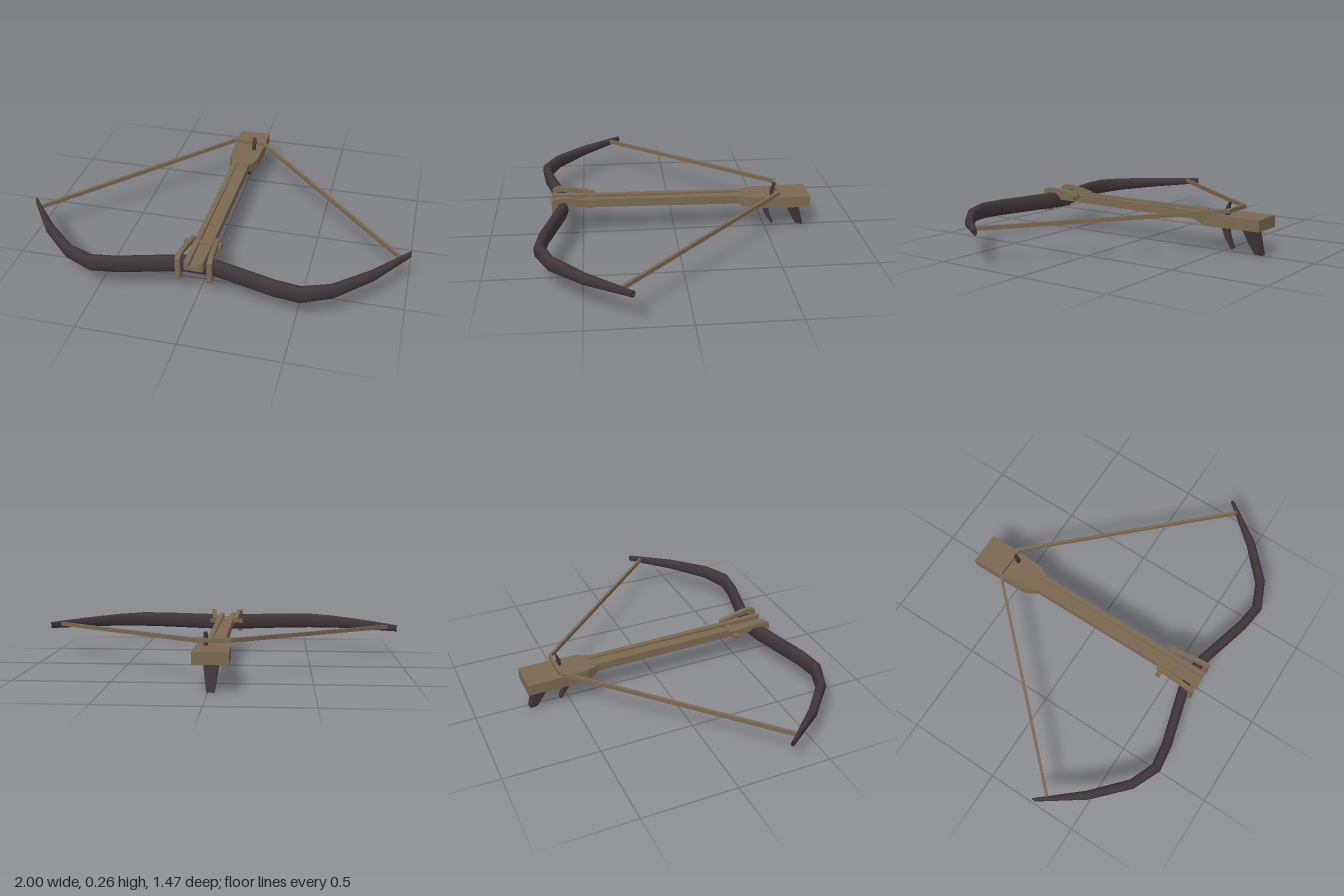
import * as THREE from 'three';

const CX = -0.0125; // centre line of the stock

const wood = new THREE.MeshStandardMaterial({ color: 0x7b6852 });
wood.name = 'wood';
const dark = new THREE.MeshStandardMaterial({ color: 0x3f3639 });
dark.name = 'dark horn';

function add(group, name, geometry, material) {
  const mesh = new THREE.Mesh(geometry, material);
  mesh.name = name;
  group.add(mesh);
}

// Side outline of [z, y] points, extruded across x and centred on x = 0
function sidePlate(points, width) {
  const shape = new THREE.Shape(points.map(([z, y]) => new THREE.Vector2(z, y)));
  return new THREE.ExtrudeGeometry(shape, { depth: width, bevelEnabled: false })
    .rotateY(-Math.PI / 2)
    .translate(width / 2, 0, 0);
}

// Move every vertex by a rule, then refresh the normals
function reshape(geometry, rule) {
  const p = geometry.attributes.position;
  const v = new THREE.Vector3();
  for (let i = 0; i < p.count; i++) {
    rule(v.fromBufferAttribute(p, i));
    p.setXYZ(i, v.x, v.y, v.z);
  }
  geometry.computeVertexNormals();
  return geometry;
}

// Straight flat cord between two points
function cord(a, b, width, height) {
  const up = new THREE.Vector3(0, 1, 0);
  const middle = a.clone().add(b).multiplyScalar(0.5);
  const turn = new THREE.Matrix4().lookAt(a, b, up).setPosition(middle);
  return new THREE.BoxGeometry(width, height, a.distanceTo(b)).applyMatrix4(turn);
}

// Recurved bow: rounded sections along a mirrored path
function bowGeometry() {
  // x, z, y, half height, half depth
  const half = [
    [0.055, 0.602, 0.164, 0.045, 0.027],
    [0.10, 0.609, 0.164, 0.045, 0.027],
    [0.39, 0.688, 0.162, 0.044, 0.026],
    [0.52, 0.705, 0.161, 0.043, 0.027],
    [0.66, 0.646, 0.163, 0.037, 0.025],
    [0.83, 0.489, 0.168, 0.028, 0.023],
    [1.01, 0.276, 0.175, 0.018, 0.018],
  ];
  const path = [
    ...half.slice().reverse().map(([x, ...r]) => [-x, ...r]),
    // the middle is let into the stock
    [-0.045, 0.6, 0.15, 0.034, 0.026],
    [0.03, 0.6, 0.15, 0.034, 0.026],
    ...half,
  ];
  const soften = (c) => Math.sign(c) * Math.abs(c) ** 0.8;
  const sides = 12, pos = [], index = [];
  path.forEach(([x, z, y, h, d], i) => {
    const a = path[Math.max(i - 1, 0)], b = path[Math.min(i + 1, path.length - 1)];
    const t = new THREE.Vector2(b[0] - a[0], b[1] - a[1]).normalize();
    for (let j = 0; j < sides; j++) {
      const ang = (j / sides) * Math.PI * 2;
      const off = soften(Math.cos(ang)) * d;
      // tips are cut square at the full width
      const px = THREE.MathUtils.clamp(x - t.y * off, -1, 1);
      pos.push(px, y + soften(Math.sin(ang)) * h, z + t.x * off);
    }
  });
  for (let i = 0; i < path.length - 1; i++) {
    for (let j = 0; j < sides; j++) {
      const a = i * sides + j, b = i * sides + (j + 1) % sides;
      index.push(a, a + sides, b, b, a + sides, b + sides);
    }
  }
  // end caps
  const last = (path.length - 1) * sides;
  for (let j = 1; j < sides - 1; j++) {
    index.push(0, j, j + 1, last, last + j + 1, last + j);
  }
  const g = new THREE.BufferGeometry();
  g.setAttribute('position', new THREE.Float32BufferAttribute(pos, 3));
  g.setIndex(index);
  g.computeVertexNormals();
  return g;
}

// Stock: plan outline extruded upward, underside stepped along its length
function stockGeometry() {
  const side = [[0.0475, 0.66], [0.0475, -0.34], [0.08, -0.41], [0.087, -0.55], [0.087, -0.735]];
  const outline = [
    ...side.map(([x, z]) => new THREE.Vector2(CX + x, -z)),
    ...side.slice().reverse().map(([x, z]) => new THREE.Vector2(CX - x, -z)),
  ];
  const g = new THREE.ExtrudeGeometry(new THREE.Shape(outline), { depth: 1, bevelEnabled: false })
    .rotateX(-Math.PI / 2);
  return reshape(g, (v) => {
    const bottom = v.z > 0 ? 0.166 : v.z > -0.38 ? 0.152 : 0.134;
    const top = v.z > -0.38 ? 0.19 : 0.195;
    v.y = v.y > 0.5 ? top : bottom;
  });
}

export function createModel() {
  const model = new THREE.Group();
  model.name = 'crossbow';

  add(model, 'bow', bowGeometry(), dark);
  add(model, 'stock', stockGeometry(), wood);

  // Rails on both sides of the bolt groove, rising toward the front
  const rail = [[-0.37, 0.18], [-0.37, 0.197], [0.42, 0.207], [0.66, 0.212], [0.66, 0.18]];
  for (const s of [-1, 1]) {
    add(model, 'rail', sidePlate(rail, 0.027).translate(CX + s * 0.034, 0, 0), wood);
  }

  // Peg through the stock and the hooked straps that hold the bow
  const peg = new THREE.BoxGeometry(0.19, 0.022, 0.026).translate(CX - 0.005, 0.188, 0.455);
  add(model, 'peg', peg, wood);
  const strap = [
    [0.43, 0.19], [0.43, 0.21], [0.55, 0.23], [0.58, 0.235], [0.63, 0.235], [0.658, 0.222],
    [0.66, 0.11], [0.65, 0.10], [0.615, 0.106], [0.612, 0.118], [0.636, 0.125],
    [0.637, 0.205], [0.62, 0.212], [0.57, 0.21],
  ];
  for (const s of [-1, 1]) {
    const g = reshape(sidePlate(strap, 0.024), (v) => {
      // straps close in on the stock toward the peg
      v.x += CX + s * (0.08 - 0.02 * THREE.MathUtils.clamp((0.63 - v.z) / 0.2, 0, 1));
    });
    add(model, 'strap', g, wood);
  }

  // Drawn string
  const backLeft = new THREE.Vector3(CX + 0.085, 0.223, -0.56);
  const backRight = new THREE.Vector3(CX - 0.085, 0.223, -0.56);
  const tipLeft = new THREE.Vector3(0.955, 0.177, 0.33);
  const tipRight = new THREE.Vector3(-0.955, 0.177, 0.33);
  add(model, 'stringMiddle', cord(backLeft, backRight, 0.018, 0.021), wood);
  add(model, 'stringLeft', cord(backLeft, tipLeft, 0.015, 0.021), wood);
  add(model, 'stringRight', cord(backRight, tipRight, 0.015, 0.021), wood);

  // Latch pin on top
  const latch = [
    [-0.52, 0.185], [-0.522, 0.225], [-0.54, 0.262], [-0.548, 0.262], [-0.54, 0.225], [-0.54, 0.185],
  ];
  add(model, 'latch', sidePlate(latch, 0.02).translate(0.024, 0, 0), dark);

  // Curved trigger below
  const trigger = [
    [-0.48, 0.15], [-0.485, 0.115], [-0.503, 0.065], [-0.54, 0.01],
    [-0.552, 0.015], [-0.532, 0.06], [-0.522, 0.1], [-0.52, 0.15],
  ];
  add(model, 'trigger', sidePlate(trigger, 0.028).translate(CX, 0, 0), dark);

  // Tapered grip
  const grip = [
    [-0.608, 0.15], [-0.612, 0.135], [-0.64, 0.07], [-0.677, 0.006],
    [-0.718, 0], [-0.698, 0.07], [-0.682, 0.135], [-0.68, 0.15],
  ];
  add(model, 'grip', reshape(sidePlate(grip, 0.076), (v) => {
    v.x = CX + v.x * (0.52 + 0.48 * v.y / 0.14);
  }), dark);

  return model;
}
